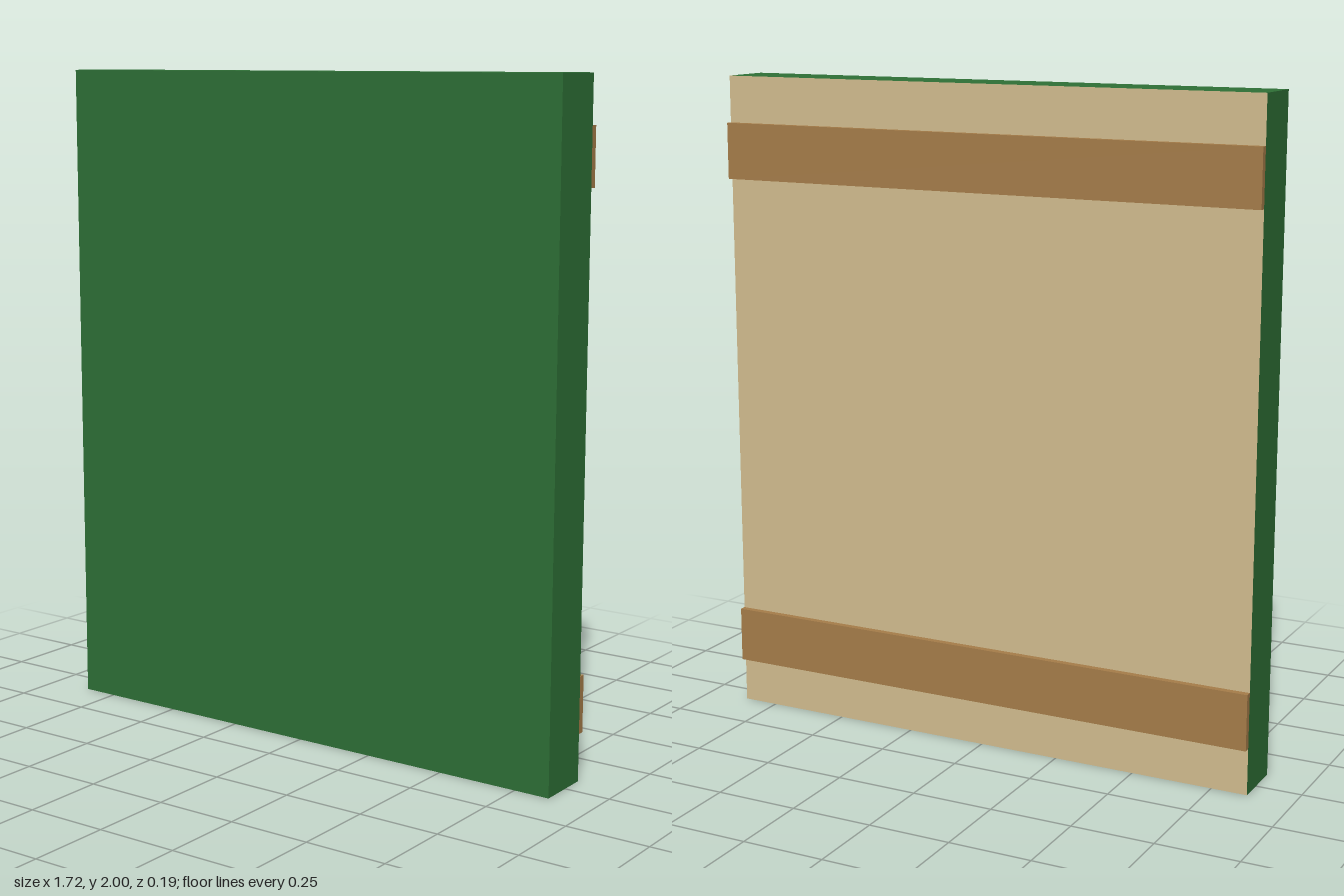
import * as THREE from 'three';

const mat = (name, color) => {
  const m = new THREE.MeshStandardMaterial({ color });
  m.name = name;
  return m;
};

export function createModel() {
  const green = mat('green', 0x2e7036);
  const tan = mat('tan', 0xd2bd8f);
  const brown = mat('brown', 0xa67d49);

  const model = new THREE.Group();
  model.name = 'battenedPanel';

  const width = 1.72, height = 2, backZ = -0.075, frontZ = 0.095;

  // Slab: green all round, bare tan back (last box face is -z)
  const panel = new THREE.Mesh(
    new THREE.BoxGeometry(width, height, frontZ - backZ),
    [green, green, green, green, green, tan]
  );
  panel.name = 'panel';
  panel.position.set(0, height / 2, (frontZ + backZ) / 2);
  model.add(panel);

  // Two wooden battens across the back
  const battenDepth = 0.02;
  for (const [name, y] of [['lowerBatten', 0.226], ['upperBatten', 1.774]]) {
    const batten = new THREE.Mesh(new THREE.BoxGeometry(width, 0.17, battenDepth), brown);
    batten.name = name;
    batten.position.set(0, y, backZ - battenDepth / 2);
    model.add(batten);
  }

  return model;
}
